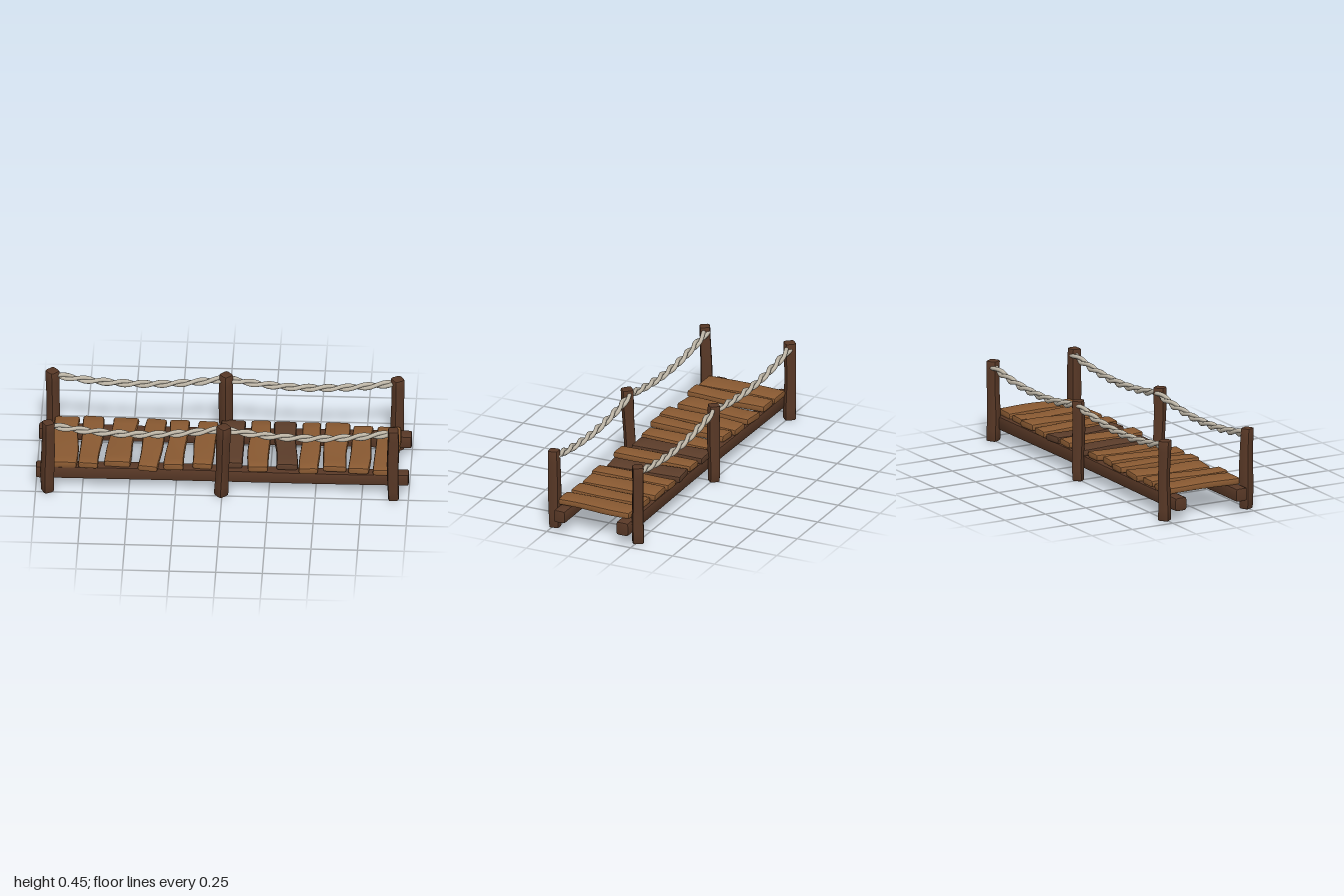
import * as THREE from 'three';
import { toCreasedNormals } from 'three/addons/utils/BufferGeometryUtils.js';

const plankWood = new THREE.MeshStandardMaterial({ name: 'plankWood', color: 0x8a5a32 });
const darkPlankWood = new THREE.MeshStandardMaterial({ name: 'darkPlankWood', color: 0x5c3d2a });
const frameWood = new THREE.MeshStandardMaterial({ name: 'frameWood', color: 0x583826 });
const ropeFibre = new THREE.MeshStandardMaterial({ name: 'ropeFibre', color: 0xbdb5a6 });

// Rounded, slightly crooked timber running along z, centred on the origin
function timber(w, h, length, seed, wobble) {
  const b = 0.008, r = 0.008, x = w / 2 - b, y = h / 2 - b;
  const s = new THREE.Shape();
  s.moveTo(-x + r, -y);
  s.lineTo(x - r, -y);
  s.quadraticCurveTo(x, -y, x, -y + r);
  s.lineTo(x, y - r);
  s.quadraticCurveTo(x, y, x - r, y);
  s.lineTo(-x + r, y);
  s.quadraticCurveTo(-x, y, -x, y - r);
  s.lineTo(-x, -y + r);
  s.quadraticCurveTo(-x, -y, -x + r, -y);
  const geo = new THREE.ExtrudeGeometry(s, {
    depth: length - 2 * b, steps: 8, curveSegments: 2,
    bevelEnabled: true, bevelSize: b, bevelThickness: b, bevelSegments: 2,
  });
  geo.translate(0, 0, b - length / 2);
  const p = geo.attributes.position;
  for (let i = 0; i < p.count; i++) {
    const t = (p.getZ(i) / length) * 7 + seed * 2.3;
    const k = 1 + 0.05 * Math.sin(t * 0.8 + seed);
    p.setX(i, p.getX(i) * k + wobble * Math.sin(t));
    p.setY(i, p.getY(i) * k + wobble * 0.6 * Math.cos(t * 0.9));
  }
  return toCreasedNormals(geo, 0.6);
}

function add(parent, name, geo, material) {
  const mesh = new THREE.Mesh(geo, material);
  mesh.name = name;
  parent.add(mesh);
  return mesh;
}

// One strand of a twisted rope hanging between two points
class Strand extends THREE.Curve {
  constructor(a, b, sag, phase) {
    super();
    Object.assign(this, { a, b, sag, phase });
  }
  getPoint(t, target = new THREE.Vector3()) {
    const angle = t * Math.PI * 2 * 4.5 + this.phase;
    target.lerpVectors(this.a, this.b, t);
    target.y += -this.sag * 4 * t * (1 - t) + 0.0105 * Math.sin(angle);
    target.z += 0.0105 * Math.cos(angle);
    return target;
  }
}

export function createModel() {
  const model = new THREE.Group();
  model.name = 'ropeBridge';

  // Long beams under the deck
  [['frontBeam', 0.175], ['backBeam', -0.195]].forEach(([name, z], i) => {
    const beam = add(model, name, timber(0.07, 0.073, 2, i + 1, 0.003), frameWood);
    beam.rotation.y = Math.PI / 2;
    beam.position.set(0, 0.098, z);
  });

  // Planks: x at the back, x at the front, width, z at the back, z at the front
  const planks = [
    [-0.85, -0.85, 0.138, -0.24, 0.215],
    [-0.705, -0.718, 0.112, -0.24, 0.225],
    [-0.535, -0.568, 0.137, -0.24, 0.198],
    [-0.368, -0.398, 0.112, -0.237, 0.235],
    [-0.243, -0.262, 0.104, -0.222, 0.222],
    [-0.094, -0.11, 0.112, -0.225, 0.2],
    [0.045, 0.045, 0.127, -0.24, 0.182],
    [0.19, 0.19, 0.112, -0.236, 0.222],
    [0.318, 0.347, 0.116, -0.238, 0.188],
    [0.465, 0.465, 0.104, -0.236, 0.222],
    [0.6, 0.6, 0.13, -0.234, 0.202],
    [0.74, 0.732, 0.11, -0.215, 0.21],
    [0.882, 0.87, 0.128, -0.212, 0.222],
  ];
  const deck = new THREE.Group();
  deck.name = 'deck';
  model.add(deck);
  planks.forEach(([xb, xf, w, zb, zf], i) => {
    const material = i === 6 || i === 8 ? darkPlankWood : plankWood;
    const plank = add(deck, 'plank', timber(w, 0.037, zf - zb, i, 0.003), material);
    plank.position.set((xb + xf) / 2, 0.154 + 0.003 * Math.sin(i * 2.1), (zb + zf) / 2);
    plank.rotation.order = 'YXZ';
    plank.rotation.y = Math.atan2(xf - xb, zf - zb);
    plank.rotation.z = 0.04 * Math.sin(i * 3.7);
  });

  // Posts: x, z, turn about the upright, lean in x, lean in z
  const posts = [
    [-0.934, 0.243, 0.5, 0.005, 0.01],
    [0.004, 0.246, 0.72, 0.016, 0.014],
    [0.918, 0.243, 0.08, 0, 0.01],
    [-0.928, -0.26, 0.72, -0.005, 0],
    [0, -0.258, 0.75, 0, 0],
    [0.92, -0.254, 0.55, 0.004, 0],
  ];
  posts.forEach(([x, z, turn, leanX, leanZ], i) => {
    const geo = timber(0.06, 0.06, 0.446, i + 3, 0.002);
    geo.rotateX(-Math.PI / 2);
    geo.rotateY(turn);
    const post = add(model, z > 0 ? 'frontPost' : 'backPost', geo, frameWood);
    post.position.set(x, 0.225, z);
    post.rotation.set(leanZ / 0.446, 0, -leanX / 0.446);
  });

  // Two-strand ropes sagging from post to post
  [['frontRope', 0.234], ['backRope', -0.262]].forEach(([name, z]) => {
    const rope = new THREE.Group();
    rope.name = name;
    model.add(rope);
    [[-0.925, 0], [0, 0.92]].forEach(([x0, x1], span) => {
      for (const phase of [0, Math.PI]) {
        const curve = new Strand(
          new THREE.Vector3(x0, 0.418, z), new THREE.Vector3(x1, 0.418, z), 0.046, phase + span);
        add(rope, 'ropeStrand', new THREE.TubeGeometry(curve, 110, 0.0115, 8), ropeFibre);
      }
    });
  });

  return model;
}
